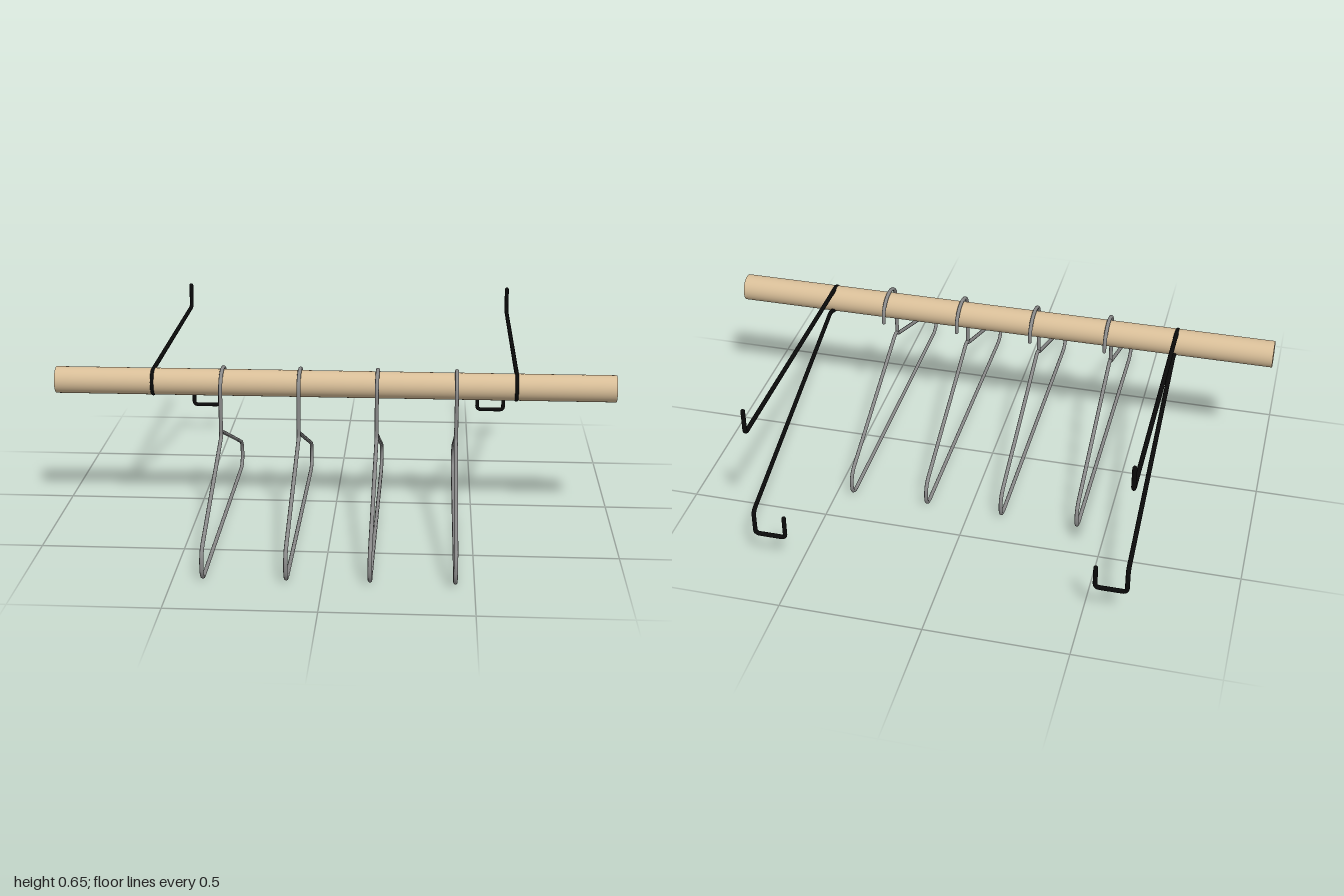
import * as THREE from 'three';

const V = (x, y, z) => new THREE.Vector3(x, y, z);

// Wire path: straight runs with a rounded bend at each inner point.
// Points are [x, y, z, bendLength].
function bentPath(points) {
  const path = new THREE.CurvePath();
  path.arcLengthDivisions = 500;
  let from = V(...points[0].slice(0, 3));
  for (let i = 1; i < points.length; i++) {
    const p = V(...points[i].slice(0, 3));
    if (i === points.length - 1) {
      path.add(new THREE.LineCurve3(from, p));
      break;
    }
    const next = V(...points[i + 1].slice(0, 3));
    const bend = points[i][3] ?? 0.015;
    const a = p.clone().add(from.clone().sub(p).setLength(Math.min(bend, from.distanceTo(p) * 0.9)));
    const b = p.clone().add(next.clone().sub(p).setLength(Math.min(bend, next.distanceTo(p) * 0.48)));
    path.add(new THREE.LineCurve3(from, a));
    path.add(new THREE.QuadraticBezierCurve3(a, p, b));
    from = b;
  }
  return path;
}

// Round wire with closed ends
function wire(name, points, radius, segments, material) {
  const group = new THREE.Group();
  group.name = name;
  const tube = new THREE.Mesh(new THREE.TubeGeometry(bentPath(points), segments, radius, 8), material);
  tube.name = name + 'Wire';
  group.add(tube);
  for (const p of [points[0], points[points.length - 1]]) {
    const cap = new THREE.Mesh(new THREE.SphereGeometry(radius, 8, 6), material);
    cap.name = name + 'WireEnd';
    cap.position.set(p[0], p[1], p[2]);
    group.add(cap);
  }
  return group;
}

export function createModel() {
  const model = new THREE.Group();
  model.name = 'clothesRail';
  const wood = new THREE.MeshStandardMaterial({ name: 'paleWood', color: 0xd8be98 });
  const steel = new THREE.MeshStandardMaterial({ name: 'greySteel', color: 0x8a8a8a });
  const black = new THREE.MeshStandardMaterial({ name: 'blackMetal', color: 0x0a0a0a });

  const railY = 0.505, railZ = 0.157, railR = 0.048;

  // Wooden rail
  const rail = new THREE.Mesh(new THREE.CylinderGeometry(railR, railR, 2, 48), wood);
  rail.name = 'rail';
  rail.rotation.z = Math.PI / 2;
  rail.position.set(0, railY, railZ);
  model.add(rail);

  // Wall brackets: upper arm, wrap round the front of the rail, lower arm, foot
  for (const side of [1, -1]) {
    const x = side * 0.648, back = -0.797, wrapR = 0.044;
    const points = [[x, 0.638, back], [x, 0.549, back, 0.02]];
    for (let i = 0; i <= 14; i++) {
      const t = Math.PI / 2 - (i / 14) * Math.PI * 1.1;
      points.push([x, railY + wrapR * Math.sin(t), railZ + wrapR * Math.cos(t), 0.005]);
    }
    points.push(
      [x, 0.484, 0.09, 0.015],
      [x, 0.218, back, 0.02],
      [x, 0.125, back, 0.015],
      [side * 0.54, 0.125, back, 0.015],
      [side * 0.54, 0.208, back]
    );
    model.add(wire(side > 0 ? 'leftBracket' : 'rightBracket', points, 0.008, 420, black));
  }

  // Wire hangers: hook over the rail, then one loop round the shoulders
  for (const x of [-0.398, -0.121, 0.156, 0.437]) {
    const points = [[x, 0.474, 0.078]];
    for (let i = 0; i <= 14; i++) {
      const t = Math.PI * (1 - i / 14);
      points.push([x, 0.494 + 0.064 * Math.sin(t), 0.159 + 0.081 * Math.cos(t), 0.008]);
    }
    points.push(
      [x, 0.325, 0.24, 0.015],
      [x, 0.108, 0.794, 0.045],
      [x, 0.007, 0.794, 0.06],
      [x, 0.007, -0.381, 0.06],
      [x, 0.1, -0.381, 0.045],
      [x, 0.342, 0.222, 0.02],
      [x, 0.325, 0.245]
    );
    model.add(wire('hanger', points, 0.007, 420, steel));
  }

  return model;
}
